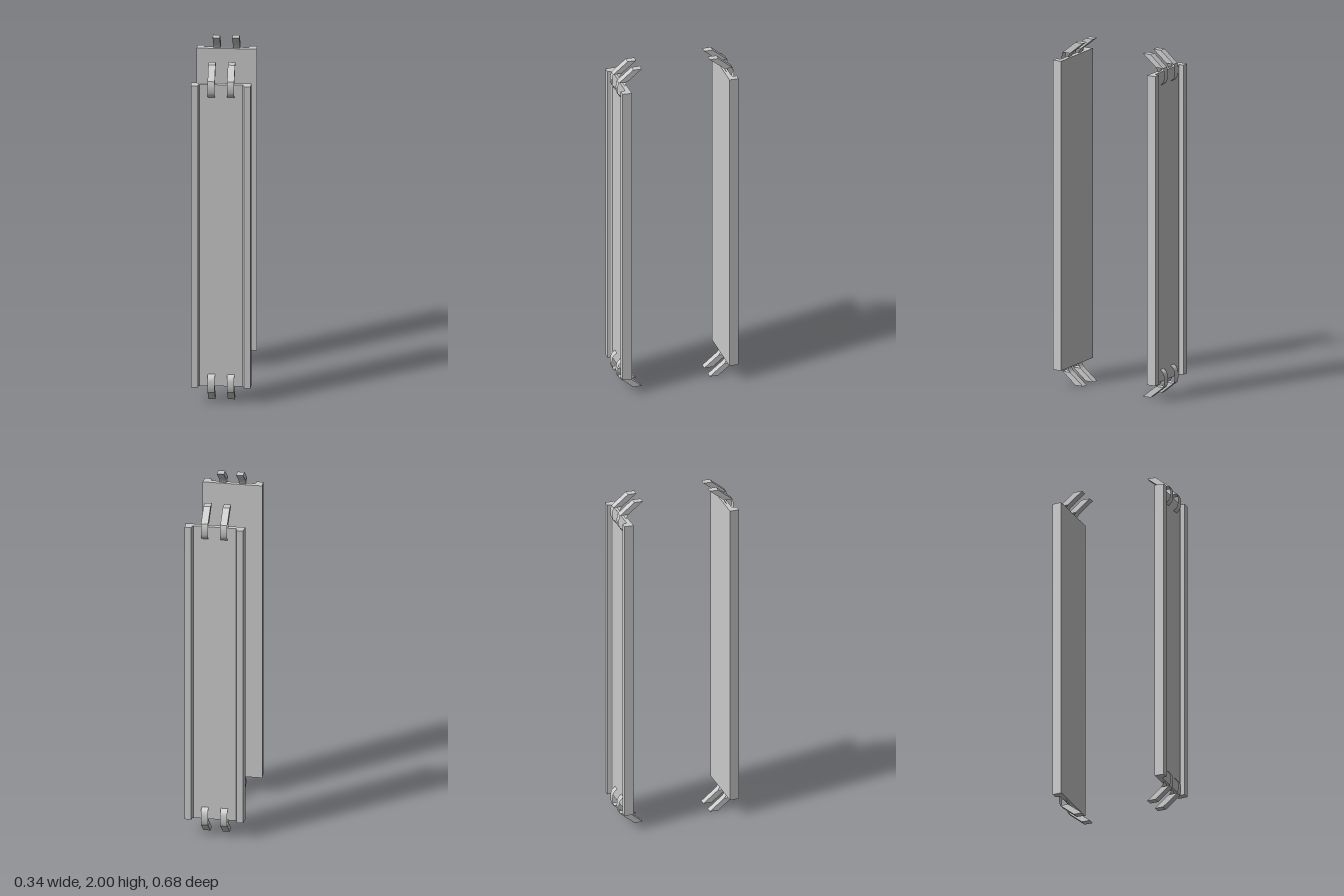
import * as THREE from 'three';

const material = new THREE.MeshStandardMaterial({ color: 0xcccccc, flatShading: true });
const bandMaterial = new THREE.MeshStandardMaterial({ color: 0xcccccc, side: THREE.DoubleSide });
const CLIP_WIDTH = 0.04;

const shapeOf = (points) => new THREE.Shape(points.map(([a, b]) => new THREE.Vector2(a, b)));

function named(geometry, mat, name) {
  const mesh = new THREE.Mesh(geometry, mat);
  mesh.name = name;
  return mesh;
}

// Long channel: thin web with two tapered flanges facing outward (+z)
function createChannel() {
  const half = [[0.17, 0.287], [0.167, 0.341], [0.13, 0.341], [0.127, 0.32], [0.122, 0.314]];
  const mirrored = half.map(([x, z]) => [-x, z]).reverse();
  const outline = [...half, ...mirrored].map(([x, z]) => [x, -z]);
  const geometry = new THREE.ExtrudeGeometry(shapeOf(outline), { depth: 1.805, bevelEnabled: false });
  geometry.rotateX(-Math.PI / 2).translate(0, 0.1, 0);
  return named(geometry, material, 'channel');
}

// Ribbon of the clip's width following a curve of [z, y] points
function createBand(points, name) {
  const steps = 10;
  const curve = new THREE.CatmullRomCurve3(points.map(([z, y]) => new THREE.Vector3(0, y, z)));
  const geometry = new THREE.PlaneGeometry(CLIP_WIDTH, 1, 1, steps);
  const position = geometry.attributes.position;
  for (let i = 0; i < position.count; i++) {
    const p = curve.getPoint(Math.floor(i / 2) / steps);
    position.setXYZ(i, position.getX(i), p.y, p.z);
  }
  geometry.computeVertexNormals();
  return named(geometry, bandMaterial, name);
}

// Clip: slanted prong leaning inward, with a hook curling down against the web
function createClip(x) {
  const clip = new THREE.Group();
  clip.name = 'clip';
  const profile = shapeOf([[0.286, 1.93], [0.335, 1.93], [0.25, 2], [0.2, 2]]);
  const prong = new THREE.ExtrudeGeometry(profile, { depth: CLIP_WIDTH, bevelEnabled: false });
  prong.rotateY(-Math.PI / 2).translate(CLIP_WIDTH / 2, 0, 0);
  clip.add(
    named(prong, material, 'prong'),
    createBand([[0.335, 1.93], [0.341, 1.905], [0.341, 1.875], [0.334, 1.848], [0.313, 1.828]], 'hookOuter'),
    createBand([[0.286, 1.93], [0.296, 1.915], [0.302, 1.895], [0.305, 1.865], [0.305, 1.84]], 'hookInner'),
  );
  clip.position.x = x;
  return clip;
}

// Pair of clips; the lower pair is the upper one turned end over end
function createClipPair(name, lower) {
  const pair = new THREE.Group();
  pair.name = name;
  for (const x of [-0.055, 0.055]) pair.add(createClip(x));
  if (lower) {
    pair.rotation.z = Math.PI;
    pair.position.y = 2;
  }
  return pair;
}

export function createModel() {
  const model = new THREE.Group();
  model.name = 'clippedChannels';
  // Front rail, and the same rail turned to face the back
  ['frontRail', 'backRail'].forEach((name, i) => {
    const rail = new THREE.Group();
    rail.name = name;
    rail.add(createChannel(), createClipPair('upperClips', false), createClipPair('lowerClips', true));
    rail.rotation.y = i * Math.PI;
    model.add(rail);
  });
  return model;
}
